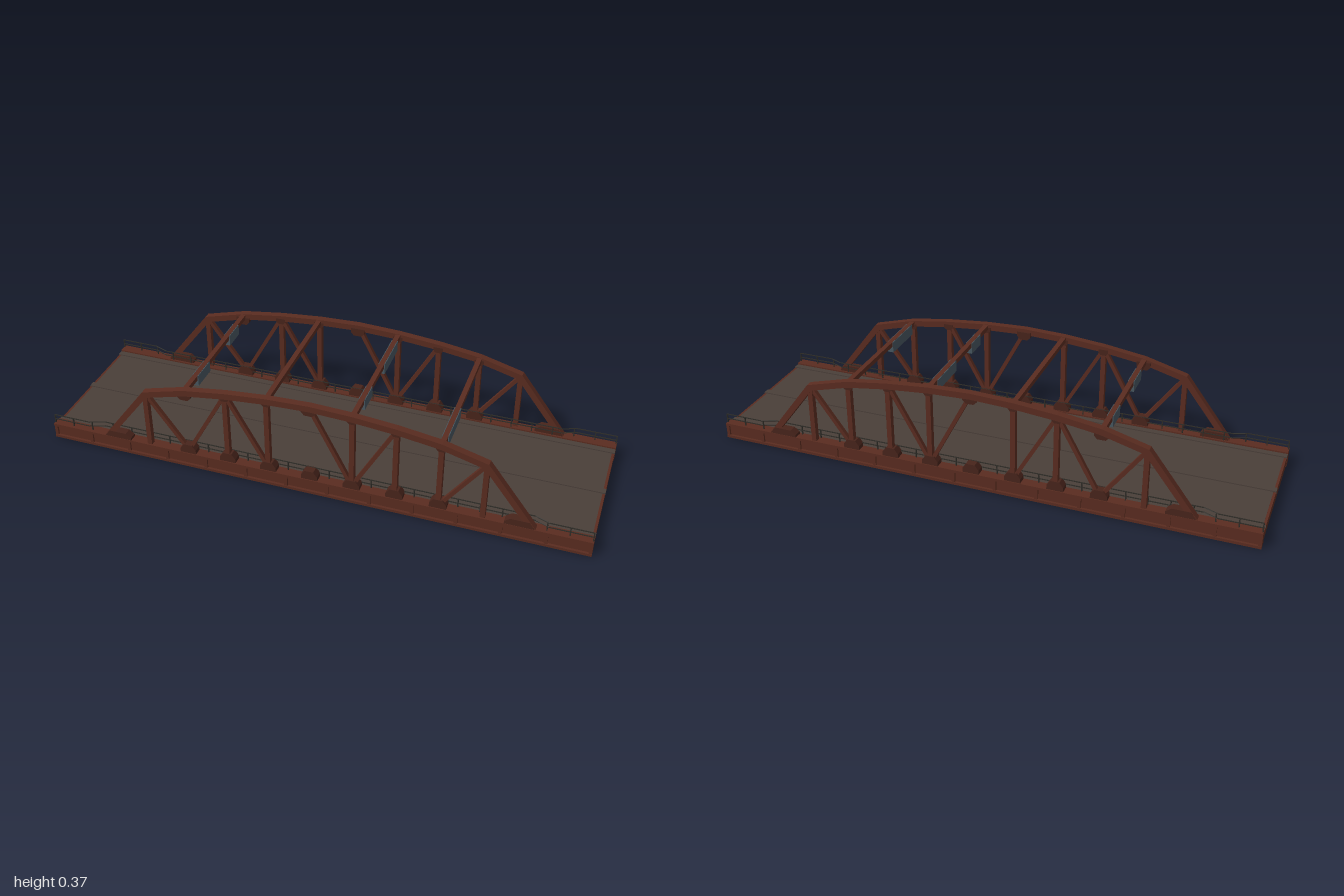
import * as THREE from 'three';

const material = (name, color, side = THREE.FrontSide) => {
  const m = new THREE.MeshStandardMaterial({ color, side });
  m.name = name;
  return m;
};

export function createModel() {
  const model = new THREE.Group();
  model.name = 'trussBridge';
  const rust = material('rustRed', 0x5a2c20);
  const darkRust = material('darkRust', 0x48241b);
  const asphalt = material('deckGrey', 0x4a3f39);
  const railMat = material('railDark', 0x2e2c27);
  const signMat = material('signBlueGrey', 0x47565f);

  const mesh = (name, geometry, mat, parent) => {
    const m = new THREE.Mesh(geometry, mat);
    m.name = name;
    parent.add(m);
    return m;
  };
  // Box given by its limits on each axis
  const box = (name, [x0, x1], [y0, y1], [z0, z1], mat, parent) => {
    const m = mesh(name, new THREE.BoxGeometry(x1 - x0, y1 - y0, z1 - z0), mat, parent);
    m.position.set((x0 + x1) / 2, (y0 + y1) / 2, (z0 + z1) / 2);
    return m;
  };
  // Straight bar between two points
  const bar = (name, a, b, width, depth, mat, parent) => {
    const dir = b.clone().sub(a);
    const m = mesh(name, new THREE.BoxGeometry(width, dir.length(), depth), mat, parent);
    m.position.copy(a).add(b).multiplyScalar(0.5);
    m.quaternion.setFromUnitVectors(new THREE.Vector3(0, 1, 0), dir.normalize());
    return m;
  };
  // Flat outline pushed out between two z values
  const plate = (name, points, z0, z1, mat, parent) => {
    const shape = new THREE.Shape(points.map(([x, y]) => new THREE.Vector2(x, y)));
    const g = new THREE.ExtrudeGeometry(shape, { depth: z1 - z0, bevelEnabled: false });
    g.translate(0, 0, z0);
    return mesh(name, g, mat, parent);
  };

  const panel = 0.154;
  const nodeX = k => 0.011 + k * panel;
  const nodeY = k => [0.363, 0.357, 0.343, 0.321, 0.279][Math.abs(k)];
  const nodes = [-4, -3, -2, -1, 0, 1, 2, 3, 4];
  const base = 0.058;

  function buildSide(s) {
    const side = new THREE.Group();
    side.name = s > 0 ? 'frontSide' : 'backSide';
    const span = (a, b) => (s > 0 ? [a, b] : [-b, -a]);
    const zMid = s * 0.27;

    // Plate girder with flanges and stiffeners
    box('girderWeb', [-0.998, 0.998], [0.005, 0.055], span(0.252, 0.277), rust, side);
    box('girderBottomFlange', [-1, 1], [0, 0.01], span(0.248, 0.286), rust, side);
    box('girderTopFlange', [-1, 1], [0.05, 0.06], span(0.248, 0.286), rust, side);
    for (let i = 0; i <= 13; i++) {
      const x = THREE.MathUtils.clamp(-1 + (i * 2) / 13, -0.994, 0.994);
      box('girderStiffener', [x - 0.006, x + 0.006], [0.009, 0.051], span(0.249, 0.284), rust, side);
    }

    // Arched top chord and end posts as one mitred band
    const path = [[nodeX(-5.1), base], ...nodes.map(k => [nodeX(k), nodeY(k)]), [nodeX(5.1), base]]
      .map(p => new THREE.Vector2(...p));
    const outer = [], inner = [];
    path.forEach((p, i) => {
      const a = p.clone().sub(path[Math.max(i - 1, 0)]).normalize();
      const b = path[Math.min(i + 1, path.length - 1)].clone().sub(p).normalize();
      const t = a.clone().add(b).normalize();
      const seg = i === 0 ? b : a;
      const h = 0.0115 / Math.max(t.dot(seg), 0.5);
      let off = new THREE.Vector2(-t.y, t.x).multiplyScalar(h);
      if (i === 0 || i === path.length - 1) off = new THREE.Vector2(0.0135, 0).multiplyScalar(i === 0 ? -1 : 1);
      outer.push([p.x + off.x, p.y + off.y]);
      inner.unshift([p.x - off.x, p.y - off.y]);
    });
    plate('topChord', [...outer, ...inner], ...span(0.258, 0.284), rust, side);

    // Verticals and diagonals
    for (const k of [-4, -2, -1, 1, 2, 3, 4])
      box('vertical', [nodeX(k) - 0.009, nodeX(k) + 0.009], [base, nodeY(k)], span(0.261, 0.281), rust, side);
    for (const [top, foot] of [[-4, -3], [-2, -3], [-2, -1], [0, 1], [2, 1], [4, 3]])
      bar('diagonal', new THREE.Vector3(nodeX(top), nodeY(top), zMid),
        new THREE.Vector3(nodeX(foot), base + 0.008, zMid), 0.014, 0.015, rust, side);

    // Gussets at the joints
    for (const k of [-3, -2, -1, 0, 1, 2, 3]) {
      const x = nodeX(k), r = 0.03;
      plate('bottomGusset', [[x - r, base], [x + r, base], [x + r, base + 0.018],
        [x + 0.016, base + 0.037], [x - 0.016, base + 0.037], [x - r, base + 0.018]],
      ...span(0.251, 0.283), darkRust, side);
      const big = k === -3 || k === 0;
      const y = nodeY(k), w = big ? 0.026 : 0.018, d = big ? 0.03 : 0.022;
      plate('topGusset', [[x - w, y], [x - w, y - d * 0.6], [x - w * 0.55, y - d],
        [x + w * 0.55, y - d], [x + w, y - d * 0.6], [x + w, y]],
      ...span(big ? 0.252 : 0.256, 0.282), darkRust, side);
    }
    for (const e of [-1, 1]) {
      const q = d => nodeX(e * 5.1) - e * d;
      plate('endShoe', [[q(-0.01), base], [q(0.095), base], [q(0.095), base + 0.012],
        [q(0.075), base + 0.027], [q(0.01), base + 0.027]], ...span(0.255, 0.285), darkRust, side);
    }

    // Railing, stepping inward past the truss
    const railZ = x => s * (0.274 - 0.02 * THREE.MathUtils.clamp((0.85 - Math.abs(x)) / 0.05, 0, 1));
    const stops = [-0.998, -0.85, -0.8, 0.8, 0.85, 0.998];
    for (const y of [0.076, 0.094])
      for (let i = 0; i < stops.length - 1; i++)
        bar('handRail', new THREE.Vector3(stops[i], y, railZ(stops[i])),
          new THREE.Vector3(stops[i + 1], y, railZ(stops[i + 1])), 0.003, 0.003, railMat, side);
    for (let i = 0; i <= 26; i++) {
      const x = -0.997 + (i * 1.994) / 26, z = railZ(x);
      box('railPost', [x - 0.002, x + 0.002], [0.055, 0.095], [z - 0.002, z + 0.002], railMat, side);
    }
    model.add(side);
  }
  buildSide(1);
  buildSide(-1);

  // Deck, end beams and raised strips
  box('deck', [-0.99, 0.99], [0.034, 0.0505], [-0.252, 0.252], asphalt, model);
  for (const x of [-0.994, 0.994])
    box('endBeam', [x - 0.005, x + 0.005], [0.01, 0.05], [-0.25, 0.25], rust, model);
  for (const [z, w] of [[-0.237, 0.024], [0, 0.024], [0.237, 0.024]])
    box('deckStrip', [-1, 1], [0.045, 0.0545], [z - w / 2, z + w / 2], asphalt, model);

  // Overhead cross struts
  for (const k of [-3, -1, 1, 3]) {
    const y = nodeY(k) + 0.0005;
    box('crossStrut', [nodeX(k) - 0.009, nodeX(k) + 0.009], [y - 0.009, y + 0.009], [-0.262, 0.262], rust, model);
  }

  // Overhead sign boxes: strut, z range
  for (const [k, z0, z1] of [[-3, 0.08, 0.18], [-3, -0.185, -0.1], [1, 0.09, 0.175],
    [1, -0.217, -0.055], [3, 0.063, 0.232]]) {
    const top = nodeY(k) + 0.0088;
    box('overheadSign', [nodeX(k) - 0.0115, nodeX(k) + 0.0115], [top - 0.041, top], [z0, z1], signMat, model);
  }
  return model;
}
